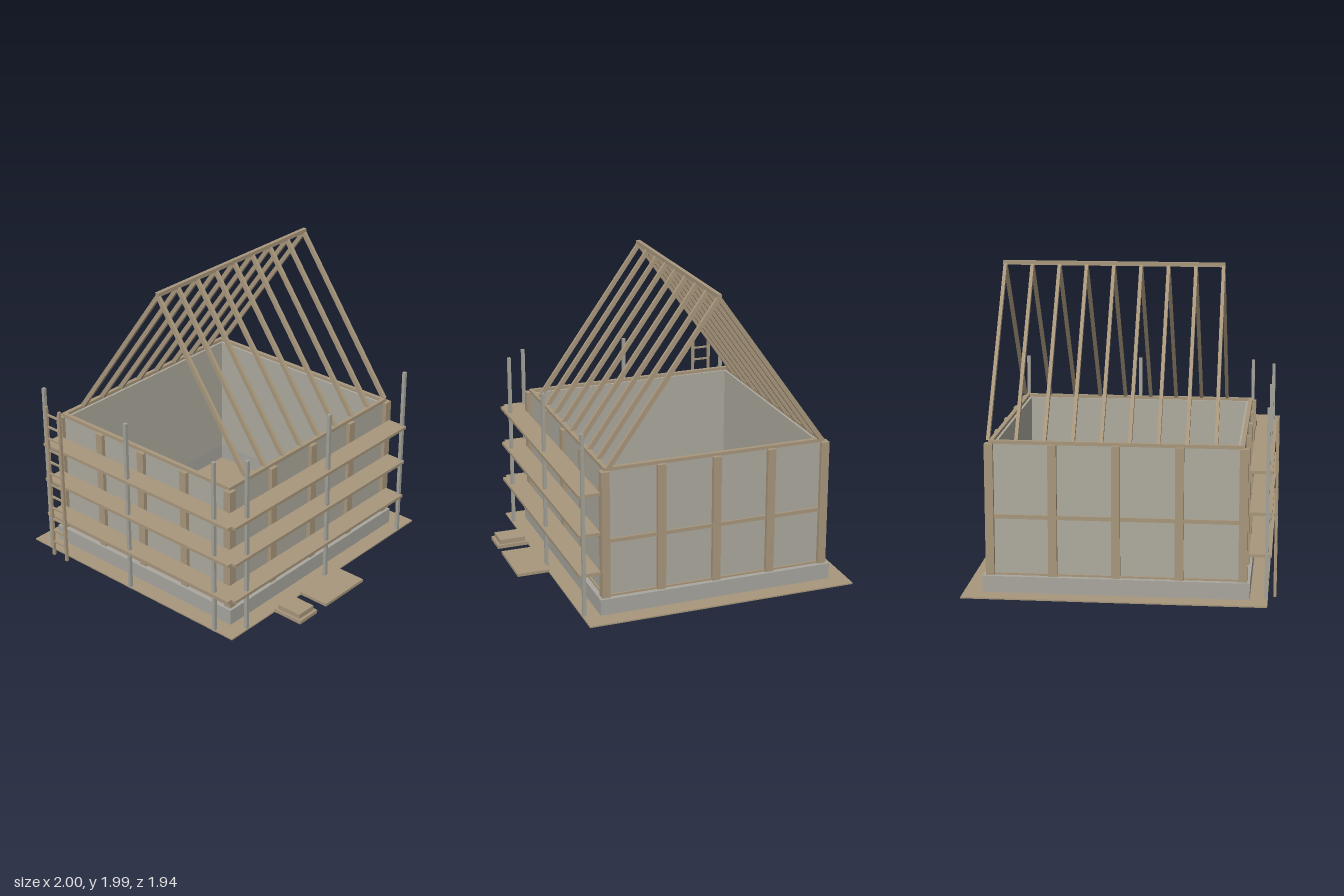
import * as THREE from 'three';

const CX = -0.105, CZ = -0.02;   // centre of the house
const HX = 0.735, HZ = 0.785;    // half size of the wall faces

export function createModel() {
  const root = new THREE.Group();
  root.name = 'houseUnderConstruction';

  const mat = (name, hex) => {
    const m = new THREE.MeshStandardMaterial({ color: hex });
    m.name = name;
    return m;
  };
  const wood = mat('wood', 0xa8977c);
  const plaster = mat('wallPanel', 0xaeaa9f);
  const concrete = mat('concrete', 0xa8a69e);
  const metal = mat('scaffoldMetal', 0xa3a29a);

  const group = (name) => {
    const g = new THREE.Group();
    g.name = name;
    root.add(g);
    return g;
  };
  const add = (parent, name, geo, material) => {
    const m = new THREE.Mesh(geo, material);
    m.name = name;
    parent.add(m);
    return m;
  };
  // box given by its limits on each axis
  const box = (parent, name, material, x0, x1, y0, y1, z0, z1) => {
    const m = add(parent, name, new THREE.BoxGeometry(x1 - x0, y1 - y0, z1 - z0), material);
    m.position.set((x0 + x1) / 2, (y0 + y1) / 2, (z0 + z1) / 2);
    return m;
  };
  // rectangular ring around the house; offsets are measured from the wall face
  const ring = (parent, name, material, outer, inner, y0, y1) => {
    const rect = (T, o) => {
      const a = HX + o, b = HZ + o;
      return new T([[-a, -b], [a, -b], [a, b], [-a, b]].map(p => new THREE.Vector2(...p)));
    };
    const shape = rect(THREE.Shape, outer);
    shape.holes.push(rect(THREE.Path, inner));
    const geo = new THREE.ExtrudeGeometry(shape, { depth: y1 - y0, bevelEnabled: false });
    geo.rotateX(-Math.PI / 2);
    const m = add(parent, name, geo, material);
    m.position.set(CX, y0, CZ);
    return m;
  };

  // ground sheet, foundation and walls
  box(root, 'groundSheet', wood, -1, 0.785, 0.001, 0.01, -0.97, 0.92);
  ring(root, 'foundation', concrete, 0.045, -0.04, 0, 0.115);
  ring(root, 'walls', plaster, 0, -0.04, 0.115, 0.95);

  // timber frame
  const frame = group('timberFrame');
  ring(frame, 'sill', wood, 0.012, -0.01, 0.115, 0.127);
  ring(frame, 'middleRail', wood, 0.012, -0.01, 0.477, 0.502);
  ring(frame, 'topPlate', wood, 0.002, -0.025, 0.948, 0.97);
  const post = (x, z) =>
    box(frame, 'post', wood, x - 0.027, x + 0.027, 0.115, 0.951, z - 0.027, z + 0.027);
  for (const s of [-1, 1]) {
    for (let i = -2; i <= 2; i++) post(CX + i * HX / 2, CZ + s * HZ);
    for (let i = -1; i <= 1; i++) post(CX + s * HX, CZ + i * HZ / 2);
  }

  // roof: nine pairs of rafters and a ridge beam
  const roof = group('roofFrame');
  const rafterShape = new THREE.Shape([
    [-0.73, 0.97], [-0.692, 0.97], [0, 1.94], [0.692, 0.97], [0.73, 0.97], [0, 1.988],
  ].map(p => new THREE.Vector2(...p)));
  const rafterGeo = new THREE.ExtrudeGeometry(rafterShape, { depth: 0.022, bevelEnabled: false });
  for (let i = 0; i < 9; i++) {
    add(roof, 'rafterPair', rafterGeo, wood).position.set(CX, 0, -0.823 + i * 0.1755);
  }
  box(roof, 'ridgeBeam', wood, CX - 0.013, CX + 0.013, 1.963, 1.99, -0.825, 0.603);

  // scaffold: poles and three levels of decking on the front and left sides
  const scaffold = group('scaffold');
  const poles = [[-0.84, 0.91], [CX, 0.91], [0.63, 0.91], [0.77, 0.765], [0.77, CZ], [0.77, -0.81]];
  for (const [x, z] of poles) {
    box(scaffold, 'pole', metal, x - 0.011, x + 0.011, 0, 1.21, z - 0.011, z + 0.011);
  }
  for (const y of [0.27, 0.535, 0.797]) {
    box(scaffold, 'frontDeck', wood, -0.84, 0.77, y, y + 0.02, 0.8, 0.94);
    box(scaffold, 'sideDeck', wood, 0.66, 0.8, y, y + 0.02, -0.815, 0.905);
  }

  // ladder
  const ladder = group('ladder');
  for (const x of [-0.77, -0.65]) {
    box(ladder, 'ladderRail', wood, x - 0.009, x + 0.009, 0, 1.12, 0.953, 0.971);
  }
  for (let i = 0; i < 12; i++) {
    const y = 0.107 + i * 0.0869;
    box(ladder, 'rung', wood, -0.765, -0.655, y - 0.006, y + 0.006, 0.956, 0.968);
  }

  // stacked boards beside the house
  const boards = group('boardStacks');
  box(boards, 'largeBoard', wood, 0.785, 1, 0.01, 0.03, -0.13, 0.255);
  box(boards, 'lowerBoard', wood, 0.785, 1, 0.008, 0.032, 0.345, 0.515);
  box(boards, 'upperBoard', wood, 0.805, 0.98, 0.032, 0.064, 0.36, 0.5);

  return root;
}
